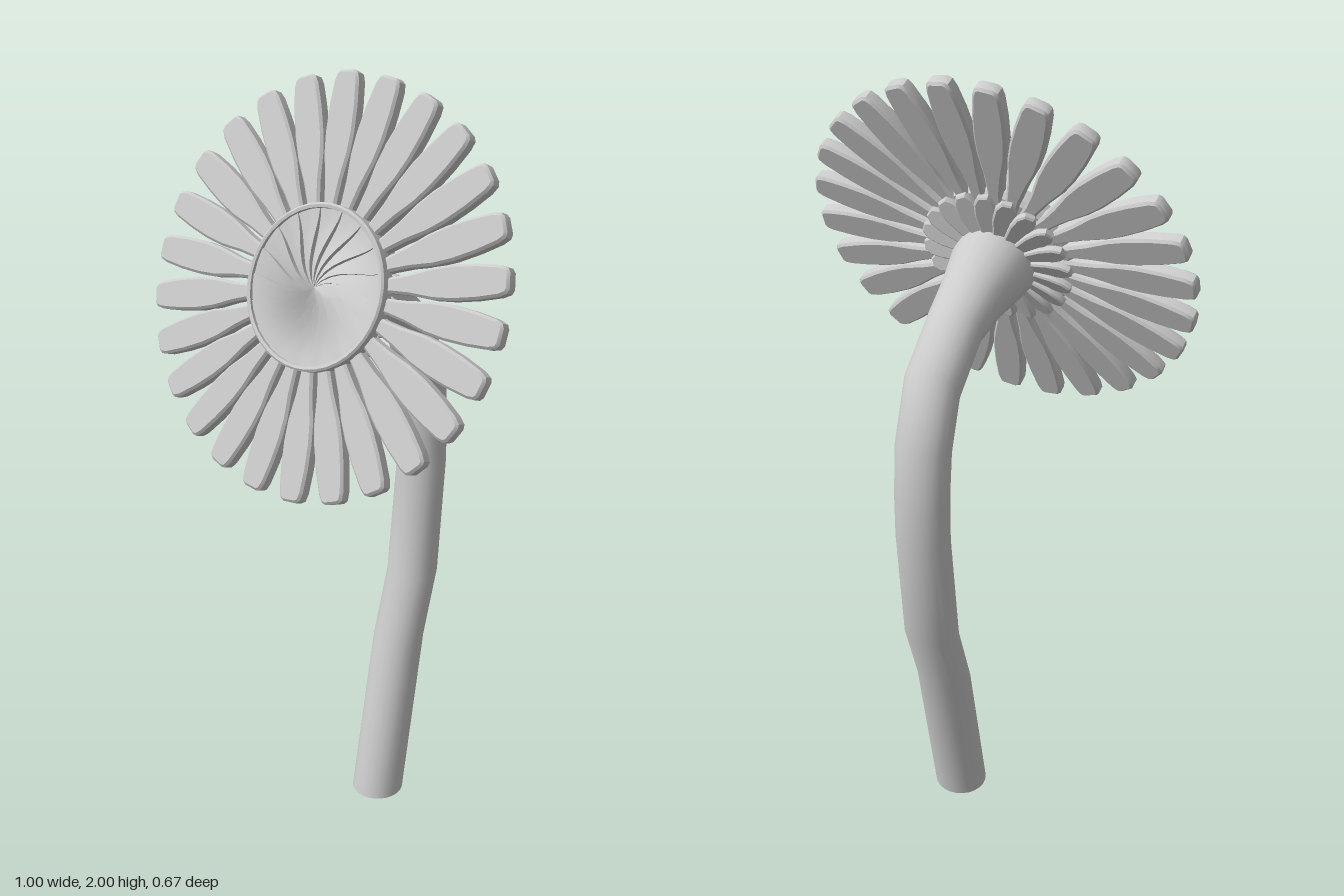
import * as THREE from 'three';
import { toCreasedNormals } from 'three/addons/utils/BufferGeometryUtils.js';

const material = new THREE.MeshStandardMaterial({ color: 0xcccccc, side: THREE.DoubleSide });

function addMesh(parent, geometry, name) {
  const mesh = new THREE.Mesh(geometry, material);
  mesh.name = name;
  parent.add(mesh);
  return mesh;
}

// Surface through rows of points, each row having the same length
function loft(rows, crease) {
  const cols = rows[0].length;
  const index = [];
  for (let i = 0; i < rows.length - 1; i++) {
    for (let j = 0; j < cols - 1; j++) {
      const a = i * cols + j, b = a + cols;
      index.push(a, b, b + 1, a, b + 1, a + 1);
    }
  }
  const geometry = new THREE.BufferGeometry().setFromPoints(rows.flat());
  geometry.setIndex(index);
  return toCreasedNormals(geometry, crease);
}

// Hollow bent stem: each station is [front y, front z, back y, back z, half width]
function stemGeometry() {
  const stations = [
    [0, -0.02, 0, -0.16, 0.07],
    [0.44, -0.117, 0.467, -0.25, 0.07],
    [0.626, -0.18, 0.645, -0.309, 0.07],
    [0.944, -0.223, 0.96, -0.334, 0.07],
    [1.1, -0.223, 1.06, -0.334, 0.07],
    [1.19, -0.212, 1.21, -0.324, 0.07],
    [1.28, -0.186, 1.395, -0.255, 0.07],
    [1.38, -0.085, 1.5, -0.128, 0.071],
    [1.4, 0.01, 1.55, -0.05, 0.08],
    [1.41, 0.117, 1.6, 0.03, 0.1],
    [1.42, 0.185, 1.62, 0.105, 0.105],
  ];
  const ring = ([fy, fz, by, bz, rx], scale) => Array.from({ length: 25 }, (_, j) => {
    const a = (j / 24) * Math.PI * 2;
    const c = Math.cos(a) * scale, s = Math.sin(a) * scale / 2;
    return new THREE.Vector3(c * rx, (fy + by) / 2 + s * (fy - by), (fz + bz) / 2 + s * (fz - bz));
  });
  const inner = stations.map((st) => ring(st, 0.72)).reverse();
  const outer = stations.map((st) => ring(st, 1));
  return loft([...inner, ...outer], 0.9);
}

// Flat blade along +y with a smooth symmetrical outline of [half width, distance]
function bladeGeometry(outline, thickness, bevel) {
  const shape = new THREE.Shape();
  const points = [...outline, ...outline.map(([w, r]) => [-w, r]).reverse()];
  shape.setFromPoints(points.map(([w, r]) => new THREE.Vector2(w, r)));
  const geometry = new THREE.ExtrudeGeometry(shape, {
    depth: thickness - 2 * bevel, bevelThickness: bevel, bevelSize: bevel,
    bevelOffset: -bevel, bevelSegments: 1,
  });
  geometry.translate(0, 0, bevel - thickness / 2);
  return toCreasedNormals(geometry, 0.6);
}

// Flower centre: overlapping spiral folds inside a thin rim
function centreGeometry(radius, blades) {
  const rows = [];
  for (let i = 0; i <= 8; i++) {
    const t = i / 8, row = [];
    for (let b = 0; b <= blades; b++) {
      for (let k = 0; k <= 3; k++) {
        if (b === blades && k > 0) break;
        const a = ((b + k / 3) / blades) * Math.PI * 2 + 0.7 * (1 - t) ** 2;
        const z = 0.03 - 0.014 * (k / 3) * Math.sin(Math.PI * Math.min(1, t * 0.95));
        row.push(new THREE.Vector3(Math.cos(a) * t * radius, Math.sin(a) * t * radius, z));
      }
    }
    rows.push(row);
  }
  return loft(rows, 0.4);
}

export function createModel() {
  const model = new THREE.Group();
  model.name = 'flower';
  addMesh(model, stemGeometry(), 'stem');

  // Tilted flower head, facing local +z
  const head = new THREE.Group();
  head.name = 'flowerHead';
  head.position.set(0, 1.535, 0.14);
  head.rotation.x = -0.37;
  model.add(head);

  // Long petals
  const petal = bladeGeometry([
    [0.016, 0.12], [0.018, 0.2], [0.024, 0.25], [0.036, 0.31], [0.04, 0.36],
    [0.039, 0.42], [0.034, 0.475], [0.028, 0.494], [0.018, 0.5],
  ], 0.036, 0.006);
  const petalCount = 26;
  for (let i = 0; i < petalCount; i++) {
    const mesh = addMesh(head, petal, 'petal');
    mesh.rotation.z = ((i + 0.5) / petalCount) * Math.PI * 2 - 0.02;
  }

  // Short sepals behind the petals
  const sepal = bladeGeometry([
    [0.012, 0.05], [0.02, 0.1], [0.026, 0.14], [0.024, 0.175], [0.012, 0.195],
  ], 0.02, 0.004);
  const sepalCount = 20;
  for (let i = 0; i < sepalCount; i++) {
    const mesh = addMesh(head, sepal, 'sepal');
    mesh.rotation.order = 'ZYX';
    mesh.rotation.set(0.06, 0.3, (i / sepalCount) * Math.PI * 2);
    mesh.position.z = -0.038;
  }

  // Folded centre, its rim and backing
  addMesh(head, centreGeometry(0.186, 18), 'flowerCentre');
  const rim = new THREE.LatheGeometry([
    [0, -0.012], [0.185, -0.012], [0.195, 0], [0.195, 0.034], [0.19, 0.038], [0.183, 0.036], [0.181, 0.012],
  ].map(([r, y]) => new THREE.Vector2(r, y)), 40);
  rim.rotateX(Math.PI / 2);
  addMesh(head, toCreasedNormals(rim, 0.6), 'centreRim');

  return model;
}
